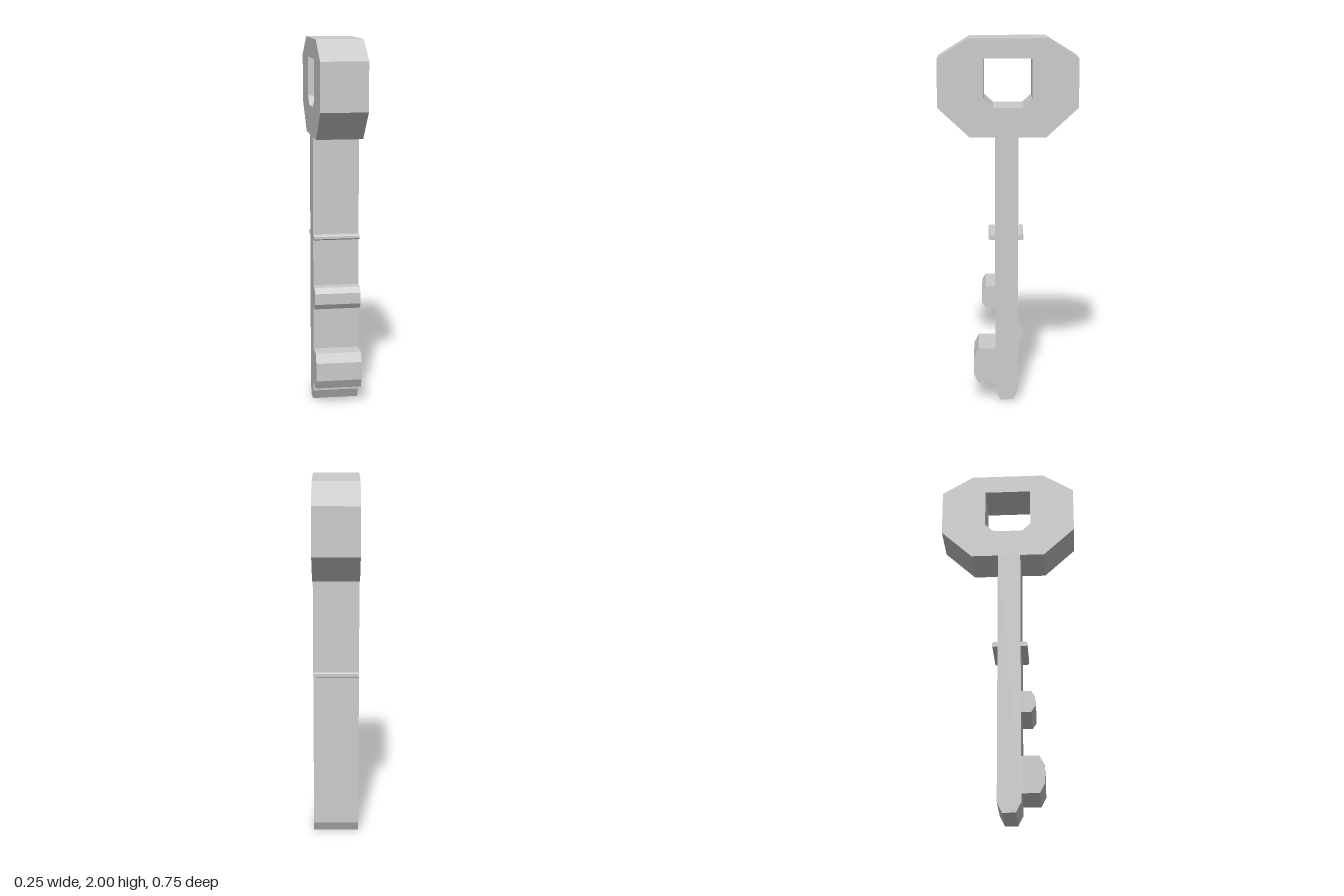
import * as THREE from 'three';

const THICKNESS = 0.25;
const material = new THREE.MeshStandardMaterial({ color: 0xcccccc, flatShading: true });

const toPoints = (list) => list.map(([z, y]) => new THREE.Vector2(z, y));

// Extrudes a side profile of [z, y] points across the width of the key
function slab(name, outline, hole) {
  const shape = new THREE.Shape(toPoints(outline));
  if (hole) shape.holes.push(new THREE.Path(toPoints(hole)));
  const geometry = new THREE.ExtrudeGeometry(shape, { depth: THICKNESS, bevelEnabled: false });
  geometry.translate(0, 0, -THICKNESS / 2).rotateY(-Math.PI / 2);
  const mesh = new THREE.Mesh(geometry, material);
  mesh.name = name;
  return mesh;
}

// Bump with bevelled outer corners, standing out from z = root to z = tip
function bump(name, root, tip, bottom, top, bevelZ, bevelY) {
  const shoulder = tip - Math.sign(tip - root) * bevelZ;
  return slab(name, [
    [root, bottom], [shoulder, bottom], [tip, bottom + bevelY],
    [tip, top - bevelY], [shoulder, top], [root, top],
  ]);
}

export function createModel() {
  const key = new THREE.Group();
  key.name = 'key';
  const front = 0.07, back = -0.055;

  // Eight-sided handle with its finger hole
  key.add(slab('bow',
    [[-0.203, 1.48], [-0.373, 1.638], [-0.373, 1.895], [-0.203, 2],
      [0.203, 2], [0.373, 1.895], [0.373, 1.638], [0.203, 1.48]],
    [[-0.128, 1.895], [-0.128, 1.682], [-0.08, 1.638],
      [0.08, 1.638], [0.128, 1.682], [0.128, 1.895]]));

  // Straight shaft with a bevelled tip
  key.add(slab('shaft', [
    [-0.028, 0], [0.042, 0], [front, 0.055], [front, 1.48], [back, 1.48], [back, 0.055],
  ]));

  // Thin collar on both edges of the shaft
  key.add(bump('collarFront', front, 0.106, 0.92, 0.947, 0.008, 0.007));
  key.add(bump('collarBack', back, -0.083, 0.92, 0.947, 0.004, 0.004));

  // Teeth on the front edge
  key.add(bump('upperTooth', front, 0.143, 0.54, 0.66, 0.02, 0.03));
  key.add(bump('lowerTooth', front, 0.19, 0.1, 0.3, 0.026, 0.05));

  return key;
}
